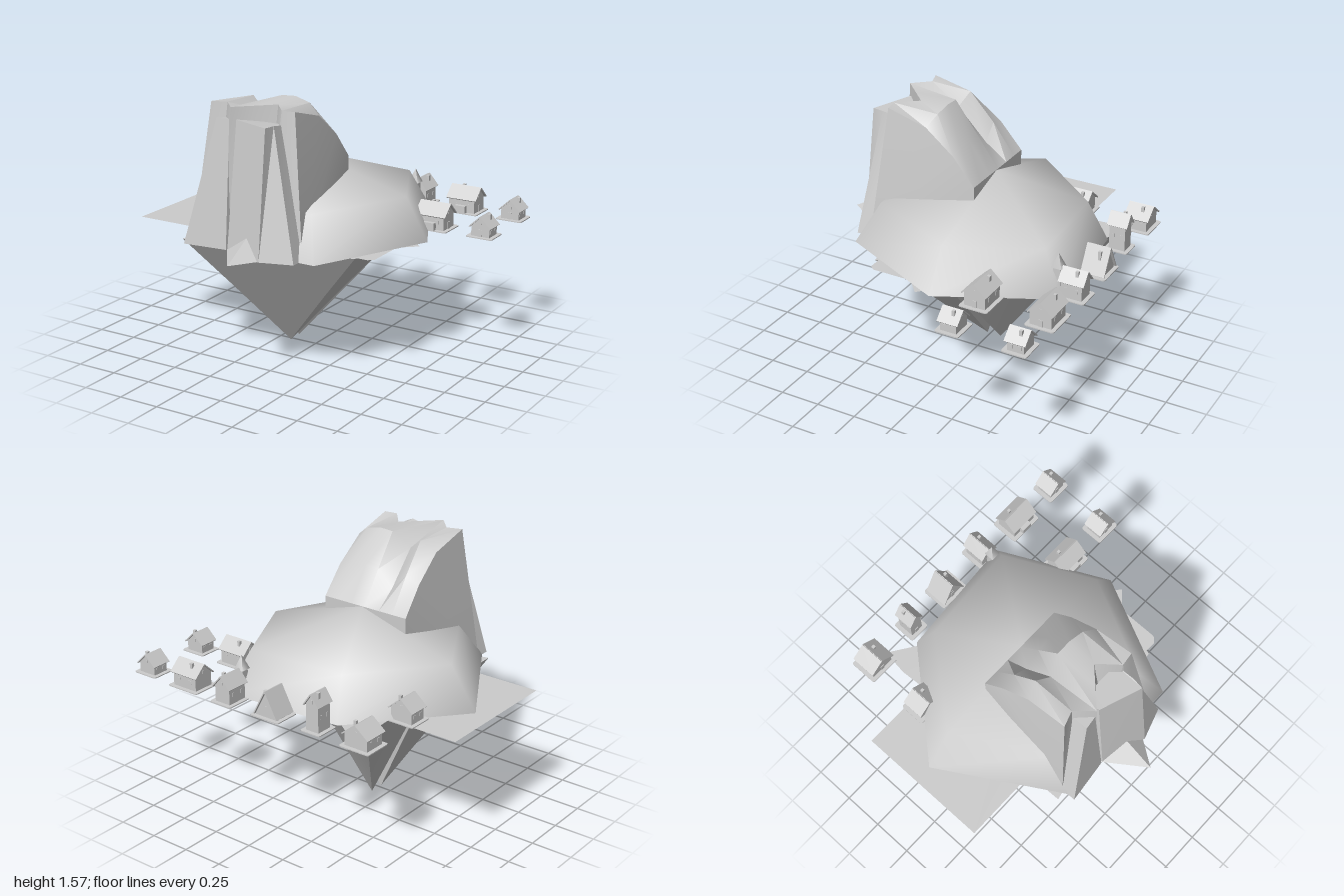
import * as THREE from 'three';
import { toCreasedNormals } from 'three/addons/utils/BufferGeometryUtils.js';

const GROUND = 0.74;
const stone = new THREE.MeshStandardMaterial({ color: 0xcccccc, side: THREE.DoubleSide });
stone.name = 'pale grey';

function part(name, geometry, x = 0, y = 0, z = 0) {
  const mesh = new THREE.Mesh(geometry, stone);
  mesh.name = name;
  mesh.position.set(x, y, z);
  return mesh;
}

// Skin a series of closed rings; caps are triangle fans
function loft(rings, crease = 0.5, capStart = false, capEnd = false) {
  const pos = [];
  const tri = (a, b, c) => pos.push(...a, ...b, ...c);
  for (let r = 0; r < rings.length - 1; r++) {
    const A = rings[r], B = rings[r + 1], n = A.length;
    for (let i = 0; i < n; i++) {
      const j = (i + 1) % n;
      tri(A[i], A[j], B[j]);
      tri(A[i], B[j], B[i]);
    }
  }
  const fan = (R, flip) => {
    for (let i = 1; i < R.length - 1; i++) flip ? tri(R[0], R[i + 1], R[i]) : tri(R[0], R[i], R[i + 1]);
  };
  if (capStart) fan(rings[0], true);
  if (capEnd) fan(rings[rings.length - 1], false);
  // Drop zero-area triangles at pinched tips
  const clean = [], a = new THREE.Vector3(), b = new THREE.Vector3(), c = new THREE.Vector3();
  for (let i = 0; i < pos.length; i += 9) {
    a.fromArray(pos, i); b.fromArray(pos, i + 3).sub(a); c.fromArray(pos, i + 6).sub(a);
    if (b.cross(c).length() > 1e-7) clean.push(...pos.slice(i, i + 9));
  }
  const g = new THREE.BufferGeometry();
  g.setAttribute('position', new THREE.Float32BufferAttribute(clean, 3));
  return toCreasedNormals(g, crease);
}

// Six-sided mound with steep skirt and shallow crown
function hill() {
  const base = [[0.70, -0.08], [0.38, -0.73], [-0.38, -0.67], [-0.89, -0.08], [-0.47, 0.62], [0.37, 0.62]];
  const shoulder = [[0.56, -0.08], [0.30, -0.60], [-0.32, -0.56], [-0.72, -0.08], [-0.39, 0.49], [0.28, 0.49]];
  const at = (ring, y) => ring.map(([x, z]) => [x, y, z]);
  const peak = base.map(() => [-0.09, 1.18, -0.07]);
  return part('hill', loft([at(base, GROUND), at(shoulder, 0.99), peak], 1.2));
}

// Ramp-backed crag: one outline per column, running left to right
function cliff() {
  const columns = [ // base x, top x, base z, top z, crest y, crest z, ramp y
    [-0.47, -0.38, 0.58, 0.50, 1.48, 0.24, 1.34],
    [-0.34, -0.29, 0.56, 0.47, 1.54, 0.21, 1.37],
    [-0.22, -0.20, 0.63, 0.57, 1.47, 0.24, 1.28],
    [-0.12, -0.10, 0.58, 0.47, 1.56, 0.20, 1.37],
    [-0.02, -0.01, 0.52, 0.38, 1.565, 0.20, 1.37],
    [0.12, 0.09, 0.58, 0.50, 1.54, 0.21, 1.37],
    [0.27, 0.17, 0.58, 0.49, 1.48, 0.24, 1.34],
  ];
  const rings = columns.map(([xb, xt, zb, zt, crestY, crestZ, rampY]) => [
    [xb, GROUND, zb], [xt, 1.55, zt], [xt, crestY, crestZ],
    [xt * 1.03, rampY, 0.06], [xt * 1.05, 1.18, -0.075], [xt * 1.05, GROUND, -0.075],
  ]);
  return part('cliff', loft(rings, 0.6, true, true));
}

// Lower buttress with a narrow crevice
function buttress() {
  const columns = [ // base x, base z, top x, top z
    [-0.47, 0.67, -0.29, 0.58], [-0.20, 0.64, -0.21, 0.57], [-0.195, 0.60, -0.19, 0.48],
    [-0.19, 0.64, -0.17, 0.56], [0.08, 0.73, 0.08, 0.65], [0.27, 0.67, 0.09, 0.58],
  ];
  const rings = columns.map(([xb, zb, xt, zt]) =>
    [[xb, GROUND, zb], [xt, 1.48, zt], [xt, 1.46, 0.45], [xb, GROUND, 0.5]]);
  return part('buttress', loft(rings, 0.35, true, true));
}

// Small boulder at the foot of the cliff
function boulder() {
  const foot = [[-0.03, GROUND, 0.87], [0.08, GROUND, 0.71], [-0.03, GROUND, 0.6], [-0.2, GROUND, 0.63]];
  const top = [-0.03, 0.85, 0.68];
  return part('boulder', loft([foot, foot.map(() => top)], 0.3));
}

// Hanging rock spikes beneath the ground
function spike(name, rim, mid, tip) {
  return part(name, loft([
    rim.map(([x, z]) => [x, GROUND, z]),
    mid.map(([x, z]) => [x, 0.41, z]),
    rim.map(() => tip),
  ], 0.6, true));
}

// Thin flat ground sheet
function plateau() {
  const outline = [[-1, -0.44], [0.6, -0.44], [0.6, -0.08], [0.7, 0.01], [0.6, 0.1], [0.6, 0.35], [0.57, 0.38], [-1, 0.38]];
  const g = new THREE.ShapeGeometry(new THREE.Shape(outline.map(([x, z]) => new THREE.Vector2(x, -z))));
  g.rotateX(-Math.PI / 2);
  return part('plateau', g, 0, GROUND, 0);
}

function roundedPad(w, d) {
  const s = new THREE.Shape(), r = 0.015, x = w / 2, y = d / 2;
  s.moveTo(-x + r, -y).lineTo(x - r, -y).quadraticCurveTo(x, -y, x, -y + r);
  s.lineTo(x, y - r).quadraticCurveTo(x, y, x - r, y);
  s.lineTo(-x + r, y).quadraticCurveTo(-x, y, -x, y - r);
  s.lineTo(-x, -y + r).quadraticCurveTo(-x, -y, -x + r, -y);
  return new THREE.ExtrudeGeometry(s, { depth: 0.006, bevelEnabled: false, curveSegments: 3 }).rotateX(-Math.PI / 2);
}

// Gabled cottage, ridge along its own z; w is across the ridge
function house({ x, z, w, d, wall, roof, turn = false, chimney = 1, porch = false, tower = false }) {
  const g = new THREE.Group();
  g.name = 'house';
  g.position.set(x, GROUND, z);
  if (turn) g.rotation.y = Math.PI / 2;
  g.add(part('pad', roundedPad(w + 0.05, d + 0.03)));

  const hw = w / 2, top = wall + roof;
  const gable = new THREE.Shape([[-hw, 0], [hw, 0], [hw, wall], [0, top], [-hw, wall]].map(p => new THREE.Vector2(...p)));
  g.add(part('walls', new THREE.ExtrudeGeometry(gable, { depth: d - 0.02, bevelEnabled: false }), 0, 0.006, -d / 2 + 0.01));

  // Overhanging roof slabs
  const slope = Math.atan2(roof, hw), len = Math.hypot(roof, hw) + 0.014;
  for (const s of [-1, 1]) {
    const slab = part('roof', new THREE.BoxGeometry(len, 0.007, d + 0.008),
      s * Math.cos(slope) * len / 2, 0.01 + top - Math.sin(slope) * len / 2, 0);
    slab.rotation.z = -s * slope;
    g.add(slab);
    // Side and gable windows
    for (const k of [-0.22, 0.22])
      if (wall > 0.04) g.add(part('window', new THREE.BoxGeometry(0.005, 0.022, 0.018), s * hw, wall * 0.6, k * d));
    g.add(part('gableWindow', new THREE.BoxGeometry(0.016, 0.02, 0.005), 0, wall + roof * 0.35, s * (d / 2 - 0.01)));
  }
  g.add(part('door', new THREE.BoxGeometry(0.024, 0.042, 0.006), 0, 0.027, d / 2 - 0.009));
  g.add(part('chimney', new THREE.BoxGeometry(0.018, 0.055, 0.018), chimney * w * 0.22, top - roof * 0.25, -d * 0.15));
  if (porch) g.add(part('porch', new THREE.BoxGeometry(0.03, 0.045, 0.07), -hw - 0.012, 0.028, 0));
  if (tower) {
    g.add(part('tower', new THREE.BoxGeometry(0.045, 0.16, 0.045), 0, 0.08, d / 2 + 0.03));
    const spire = part('spire', new THREE.ConeGeometry(0.045, 0.085, 4), 0, 0.2, d / 2 + 0.03);
    spire.rotation.y = Math.PI / 4;
    g.add(spire);
  }
  return g;
}

export function createModel() {
  const model = new THREE.Group();
  model.name = 'floatingIsland';
  model.add(plateau(), hill(), cliff(), buttress(), boulder());
  model.add(spike('backSpike',
    [[0.5, -0.04], [-0.03, -0.4], [-0.55, -0.76], [-0.57, -0.6], [-0.53, 0], [0, 0.34]],
    [[0.2, -0.06], [-0.09, -0.25], [-0.36, -0.36], [-0.37, -0.3], [-0.35, -0.03], [-0.07, 0.16]], [-0.165, 0, -0.07]));
  model.add(spike('frontSpike',
    [[0.5, 0.4], [0.5, -0.04], [-0.55, -0.1], [-0.53, 0.6]],
    [[0.2, 0.23], [0.2, -0.01], [-0.37, -0.03], [-0.365, 0.34]], [-0.165, 0, 0.02]));

  // Village along the back and right
  const village = new THREE.Group();
  village.name = 'village';
  const cottage = { w: 0.14, d: 0.13, wall: 0.075, roof: 0.06 };
  const longHouse = { w: 0.13, d: 0.19, wall: 0.085, roof: 0.06, turn: true, porch: true };
  const small = { w: 0.115, d: 0.12, wall: 0.06, roof: 0.055 };
  [
    { x: -0.635, z: -0.77, ...cottage, w: 0.15, d: 0.15 },
    { x: -0.325, z: -0.77, w: 0.085, d: 0.12, wall: 0.16, roof: 0.06, chimney: -1 },
    { x: -0.015, z: -0.78, w: 0.15, d: 0.14, wall: 0.015, roof: 0.14 },
    { x: 0.3, z: -0.785, w: 0.105, d: 0.15, wall: 0.1, roof: 0.06, tower: true },
    { x: 0.605, z: -0.77, ...longHouse },
    { x: 0.92, z: -0.77, ...small },
    { x: -0.635, z: -0.375, ...cottage },
    { x: 0.605, z: -0.365, ...longHouse },
    { x: 0.92, z: -0.365, ...small },
  ].forEach(h => village.add(house(h)));
  model.add(village);
  return model;
}
